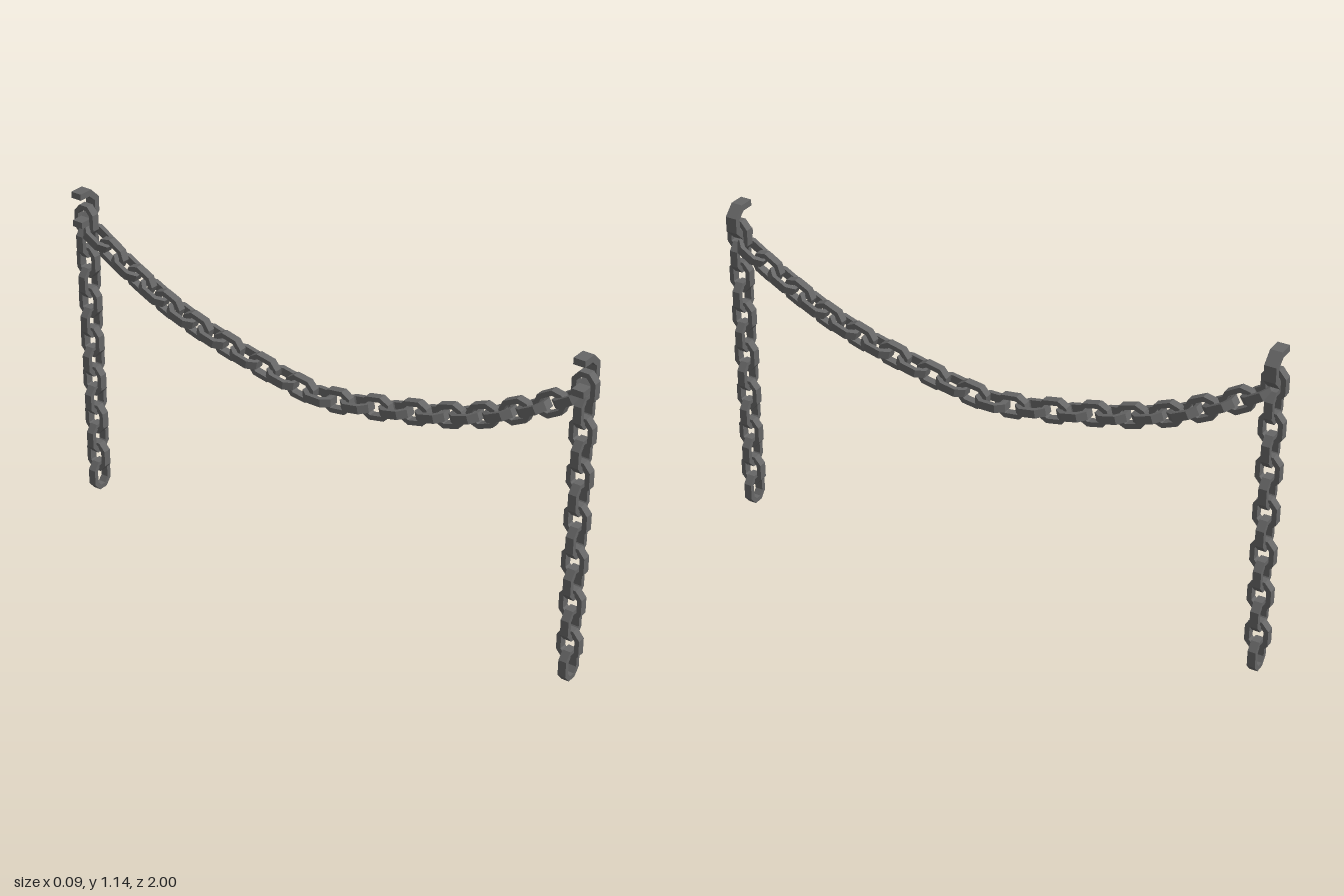
import * as THREE from 'three';

const material = new THREE.MeshStandardMaterial({ color: 0x666666, flatShading: true });

// Elongated octagon: half width w, half length l, flat end half width f, chamfer height c
function octagon(w, l, f, c) {
  return [[f, -l], [w, -l + c], [w, l - c], [f, l], [-f, l], [-w, l - c], [-w, -l + c], [-f, -l]]
    .map(([x, y]) => new THREE.Vector2(x, y));
}

function extrude(shape, depth) {
  const geometry = new THREE.ExtrudeGeometry(shape, { depth, bevelEnabled: false });
  return geometry.translate(0, 0, -depth / 2);
}

// One link lies in the XY plane with its length along y
function linkGeometry() {
  const shape = new THREE.Shape(octagon(0.04, 0.055, 0.017, 0.027));
  shape.holes.push(new THREE.Path(octagon(0.024, 0.039, 0.01, 0.017)));
  return extrude(shape, 0.028);
}

// C-shaped hook, open towards -x
function hookGeometry() {
  const upper = [[-0.045, 0.04], [-0.045, 0.062], [0.007, 0.062], [0.043, 0.026]];
  const inner = [[0.023, 0.018], [-0.002, 0.04]];
  const flip = (points) => points.map(([x, y]) => [x, -y]).reverse();
  const outline = [...upper, ...flip(upper), ...flip(inner), ...inner];
  return extrude(new THREE.Shape(outline.map(([x, y]) => new THREE.Vector2(x, y))), 0.04);
}

export function createModel() {
  const model = new THREE.Group();
  const link = linkGeometry();
  const hook = hookGeometry();

  function addLink(parent, name, y, z, tilt, turned) {
    const mesh = new THREE.Mesh(link, material);
    mesh.name = name;
    mesh.position.set(0, y, z);
    // Quarter turn about the link's length first, then tilt in the YZ plane
    mesh.rotation.set(tilt, turned ? Math.PI / 2 : 0, 0, 'XYZ');
    parent.add(mesh);
  }

  // Hanging chains and the hooks that carry them
  for (const side of [1, -1]) {
    const where = side > 0 ? 'front' : 'back';
    const chain = new THREE.Group();
    chain.name = where + 'HangingChain';
    for (let i = 0; i < 14; i++) {
      addLink(chain, 'hangingLink', 0.055 + i * 0.075, side * 0.96, 0, i % 2 === 1);
    }
    const hookMesh = new THREE.Mesh(hook, material);
    hookMesh.name = where + 'Hook';
    hookMesh.position.set(0, 1.08, side * 0.96);
    model.add(chain, hookMesh);
  }

  // Swag chain: centres of the links from the lowest one to the end, as [z, y]
  const half = [
    [0, 0.682], [0.072, 0.69], [0.147, 0.702], [0.222, 0.716], [0.295, 0.731],
    [0.366, 0.748], [0.431, 0.763], [0.495, 0.781], [0.556, 0.801], [0.616, 0.823],
    [0.674, 0.849], [0.731, 0.877], [0.79, 0.908], [0.85, 0.942], [0.912, 0.98],
  ];
  const swag = new THREE.Group();
  swag.name = 'swagChain';
  half.forEach(([z, y], i) => {
    const before = i > 0 ? half[i - 1] : [-half[1][0], half[1][1]];
    const after = half[i + 1] || [z, y];
    const tilt = Math.atan2(after[0] - before[0], after[1] - before[1]);
    addLink(swag, 'swagLink', y, z, tilt, i % 2 === 1);
    if (i > 0) addLink(swag, 'swagLink', y, -z, -tilt, i % 2 === 1);
  });
  model.add(swag);
  return model;
}
